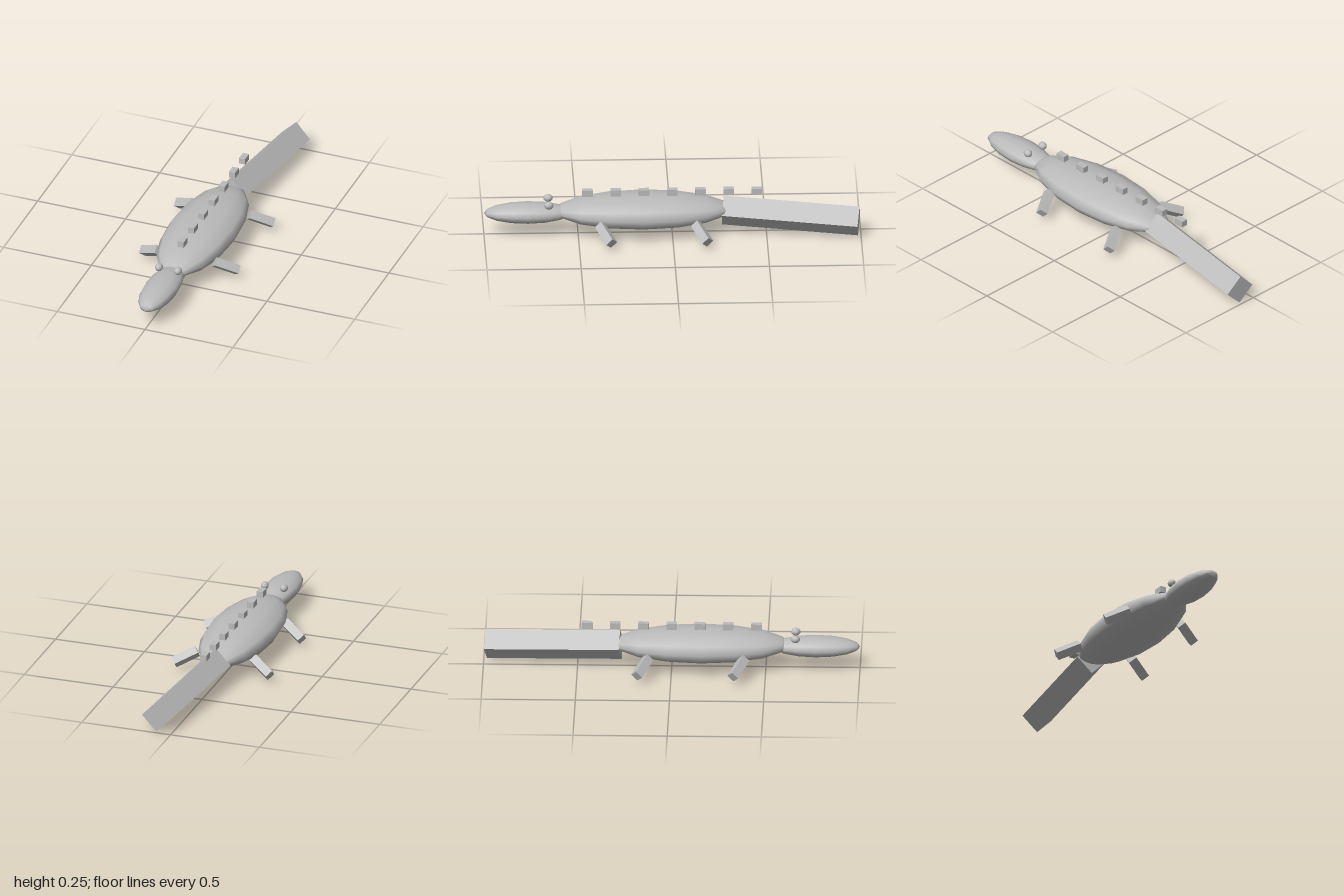
import * as THREE from 'three';

const grey = new THREE.MeshStandardMaterial({ color: 0xbbbbbb });
grey.name = 'stone grey';

export function createModel() {
  const model = new THREE.Group();
  model.name = 'lizard';

  const add = (name, geometry, x = 0, y = 0, z = 0) => {
    const mesh = new THREE.Mesh(geometry, grey);
    mesh.name = name;
    mesh.position.set(x, y, z);
    model.add(mesh);
    return mesh;
  };

  // Low-poly ellipsoid with its poles along z, smooth normals
  const ellipsoid = (rx, ry, rz) =>
    new THREE.SphereGeometry(1, 12, 8).rotateX(Math.PI / 2).scale(rx, ry, rz);

  add('body', ellipsoid(0.19, 0.088, 0.47), 0, 0.132, 0.155);
  add('head', ellipsoid(0.093, 0.053, 0.235), 0, 0.123, 0.765);

  // Square tail standing on edge, swinging left and down
  const tailStart = new THREE.Vector3(0, 0.123, -0.27);
  const tailEnd = new THREE.Vector3(0.087, 0.086, -0.988);
  const tailGeometry = new THREE.CylinderGeometry(0.083, 0.083, tailStart.distanceTo(tailEnd), 4)
    .toNonIndexed().rotateX(Math.PI / 2);
  tailGeometry.computeVertexNormals();
  const tail = add('tail', tailGeometry);
  tail.position.lerpVectors(tailStart, tailEnd, 0.5);
  tail.lookAt(tailEnd);

  // Row of floating back plates
  for (let i = 0; i < 7; i++) {
    add('backPlate', new THREE.BoxGeometry(0.035, 0.034, 0.056), 0, 0.232, 0.45 - i * 0.15);
  }

  for (const side of [1, -1]) {
    const label = side > 0 ? 'left' : 'right';
    add(label + 'Eye', new THREE.SphereGeometry(0.021, 12, 8).scale(1, 1, 1.2),
      side * 0.054, 0.183, 0.657);

    // Splayed legs sloping outward, down and back
    const along = new THREE.Vector3(side * 0.81, -0.415, -0.415).normalize();
    const up = new THREE.Vector3(0, 1, -1).normalize();
    const across = new THREE.Vector3().crossVectors(up, along);
    for (const [name, footZ] of [['FrontLeg', 0.33], ['BackLeg', -0.18]]) {
      const leg = add(label + name, new THREE.BoxGeometry(0.046, 0.046, 0.138));
      leg.quaternion.setFromRotationMatrix(new THREE.Matrix4().makeBasis(across, up, along));
      leg.position.set(side * 0.27, 0.05, footZ).addScaledVector(along, -0.069);
    }
  }

  return model;
}
